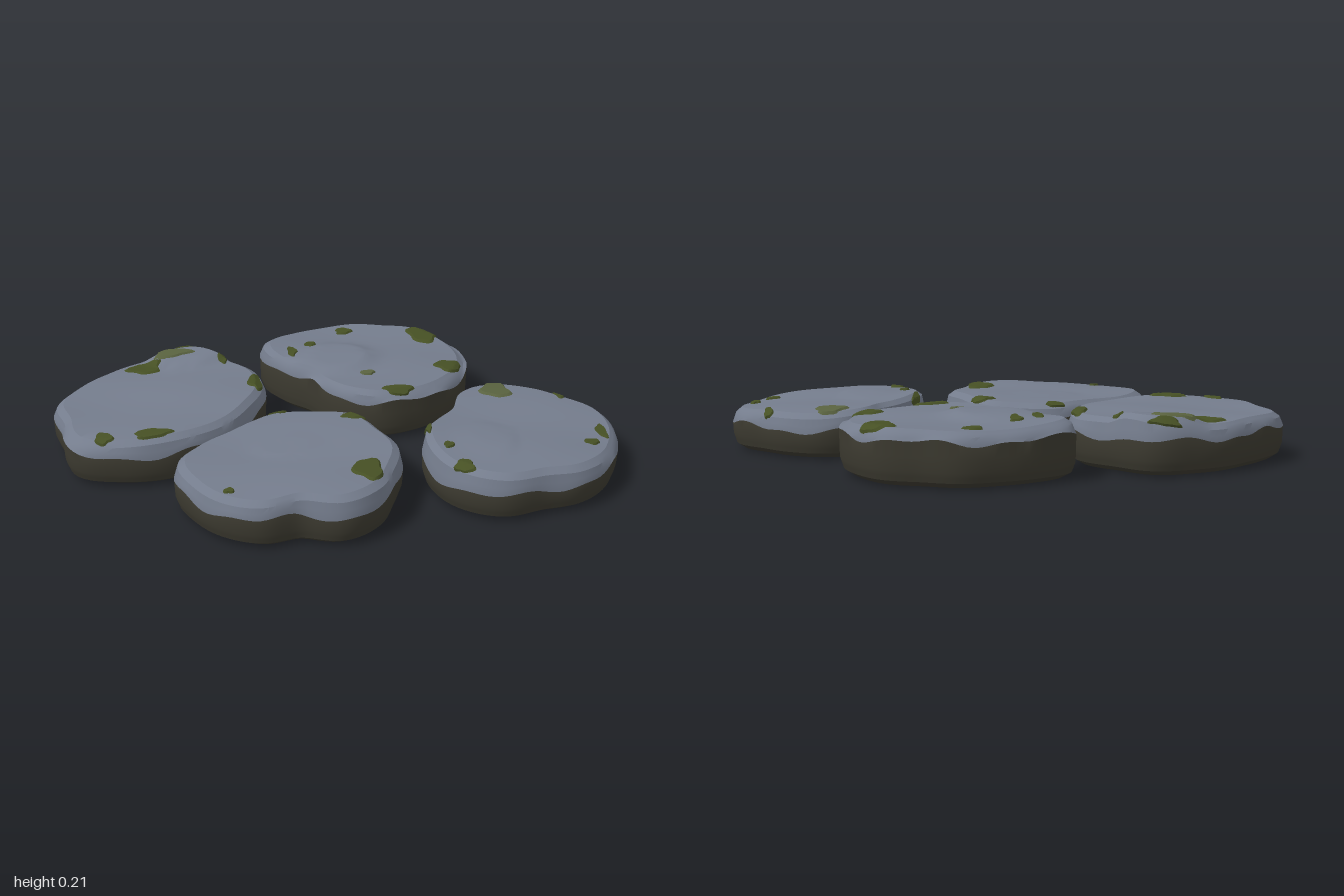
import * as THREE from 'three';
import { toCreasedNormals } from 'three/addons/utils/BufferGeometryUtils.js';

const mat = (name, color) => Object.assign(new THREE.MeshStandardMaterial({ color }), { name });
const { smoothstep } = THREE.MathUtils;

// Outline radius at an angle (from +x towards +z): smooth closed curve through evenly spaced radii
function radius(s, angle) {
  const n = s.radii.length, f = ((angle / (Math.PI * 2)) % 1 + 1) % 1 * n;
  const i = Math.floor(f), t = f - i, r = (k) => s.radii[(i + k + n) % n];
  const m0 = (r(1) - r(-1)) / 2, m1 = (r(2) - r(0)) / 2, d = r(0) - r(1);
  return ((2 * d + m0 + m1) * t - 3 * d - 2 * m0 - m1) * t * t + m0 * t + r(0);
}

// Top height over the plan: tilt, soft undulation and one raised slab
function topHeight(s, x, z) {
  const y = s.top + s.tilt * (x - s.cx)
    + 0.004 * Math.sin(9 * x + 4 * z) + 0.003 * Math.sin(15 * z - 7 * x + s.cx * 9);
  const [lx, lz, rx, rz, h] = s.lump;
  return y + h * (1 - smoothstep(Math.hypot((x - lx) / rx, (z - lz) / rz), 0.65, 1.15));
}

// Point on the stone: v 0..1 crosses the top, 1..1.4 goes down the side, v = 2 is the underside centre
function surface(s, a, v) {
  const rim = radius(s, a), c = Math.cos(a), n = Math.sin(a);
  const top = (k) => topHeight(s, s.cx + c * rim * k, s.cz + n * rim * k);
  let r = v, y;
  if (v <= 0.9) y = top(v);
  else {
    const edge = s.edge + 0.009 * Math.sin(5 * a + s.cx * 7) + 0.006 * Math.sin(11 * a + s.cz * 5);
    const keys = [[0.9, 0.9, top(0.9)], [1, 0.965, top(0.965) - 0.018], [1.1, 1, edge], [1.2, 0.995, 0.06],
      [1.3, 0.965, 0.025], [1.4, 0.89, 0.007], [2, 0, 0.003]];
    const i = Math.max(1, keys.findIndex((k) => k[0] >= v - 1e-6));
    const [v0, r0, y0] = keys[i - 1], [v1, r1, y1] = keys[i];
    const t = (v - v0) / (v1 - v0);
    r = r0 + (r1 - r0) * t;
    y = y0 + (y1 - y0) * t;
  }
  return new THREE.Vector3(s.cx + c * rim * r, y, s.cz + n * rim * r);
}

// Skin of concentric rings; splitRing starts the second material
function ringSkin(rings, sides, point, splitRing = rings) {
  const pos = [], idx = [];
  for (let i = 0; i <= rings; i++) {
    for (let j = 0; j < sides; j++) pos.push(...point(i, (j / sides) * Math.PI * 2).toArray());
  }
  for (let i = 0; i < rings; i++) {
    for (let j = 0; j < sides; j++) {
      const a = i * sides + j, b = i * sides + (j + 1) % sides;
      idx.push(a, b + sides, a + sides, a, b, b + sides);
    }
  }
  const flat = new THREE.BufferGeometry();
  flat.setAttribute('position', new THREE.Float32BufferAttribute(pos, 3));
  flat.setIndex(idx);
  const geo = toCreasedNormals(flat, 0.55);
  geo.addGroup(0, splitRing * sides * 6, 0);
  if (splitRing < rings) geo.addGroup(splitRing * sides * 6, (rings - splitRing) * sides * 6, 1);
  return geo;
}

// Thin irregular moss patch draped over the top and rim, its border tucked into the stone
function mossGeometry(s, x, z, rx, rz, seed) {
  return ringSkin(5, 28, (i, b) => {
    const k = (i / 5) * (1 + 0.13 * Math.sin(3 * b + seed) + 0.08 * Math.sin(5 * b + seed * 2.3));
    const dx = x + rx * k * Math.cos(b) - s.cx, dz = z + rz * k * Math.sin(b) - s.cz;
    const a = Math.atan2(dz, dx), v = Math.min(Math.hypot(dx, dz) / radius(s, a), 1.16);
    const w = smoothstep(v, 0.9, 1.1);
    const out = new THREE.Vector3(Math.cos(a) * w, 1 - 0.8 * w, Math.sin(a) * w).normalize();
    return surface(s, a, v).addScaledVector(out, i < 5 ? 0.007 : -0.003);
  });
}

export function createModel() {
  const slate = mat('slate', 0x747c8c), rock = mat('darkRock', 0x3c3a30);
  const moss = mat('moss', 0x465024), paleMoss = mat('paleMoss', 0x59623f);
  const model = new THREE.Group();
  model.name = 'steppingStones';

  // Ring positions: even over the top, finer down the side, closing under the stone
  const level = (i) => (i <= 8 ? 0.1125 * i : i <= 18 ? 0.9 + 0.05 * (i - 8) : 2);

  // Slab with slate top and dark sides; returns a helper that lays moss on it
  function addStone(name, s) {
    const group = new THREE.Group();
    group.name = name;
    const slab = new THREE.Mesh(ringSkin(19, 96, (i, a) => surface(s, a, level(i)), 12), [slate, rock]);
    slab.name = 'slab';
    group.add(slab);
    model.add(group);
    return (x, z, rx, rz, material = moss) => {
      const patch = new THREE.Mesh(mossGeometry(s, x, z, rx, rz, x * 40 + z * 17), material);
      patch.name = 'mossPatch';
      group.add(patch);
    };
  }

  // Left stone in the back row, with a raised slab at its rear
  const mossA = addStone('backRightStone', {
    cx: -0.61, cz: -0.17, top: 0.18, edge: 0.125, tilt: 0.02, lump: [-0.49, -0.46, 0.16, 0.09, 0.024],
    radii: [.39, .355, .347, .355, .38, .413, .45, .39, .39, .338, .31, .325, .355, .408, .388, .408],
  });
  mossA(-0.66, -0.40, 0.07, 0.05);
  mossA(-0.55, -0.47, 0.08, 0.035, paleMoss);
  mossA(-0.36, -0.41, 0.02, 0.03);
  mossA(-0.25, -0.21, 0.035, 0.07);
  mossA(-0.82, 0.15, 0.035, 0.04);
  mossA(-0.65, 0.155, 0.07, 0.035);
  mossA(-0.50, -0.535, 0.06, 0.02);

  // Tallest stone at the back
  const mossB = addStone('backStone', {
    cx: 0.19, cz: -0.36, top: 0.193, edge: 0.155, tilt: -0.02, lump: [0.07, -0.35, 0.16, 0.14, 0.018],
    radii: [.39, .387, .368, .355, .35, .315, .275, .265, .335, .428, .388, .355, .35, .335, .365, .375],
  });
  mossB(0.45, -0.53, 0.065, 0.08);
  mossB(0.49, -0.23, 0.06, 0.05);
  mossB(0.26, -0.05, 0.06, 0.035);
  mossB(0.14, -0.61, 0.035, 0.03);
  mossB(-0.01, -0.48, 0.025, 0.03);
  mossB(-0.09, -0.42, 0.02, 0.045);
  mossB(0.17, -0.20, 0.03, 0.018, paleMoss);

  // Front stone
  const mossC = addStone('frontStone', {
    cx: -0.195, cz: 0.355, top: 0.18, edge: 0.115, tilt: 0.01, lump: [-0.2, 0.3, 0.12, 0.08, 0.006],
    radii: [.39, .373, .385, .374, .305, .35, .37, .38, .395, .345, .3, .305, .345, .357, .395, .372],
  });
  mossC(0.07, 0.12, 0.05, 0.03);
  mossC(0.05, 0.51, 0.055, 0.08);
  mossC(-0.42, 0.57, 0.02, 0.015);
  mossC(-0.20, 0.035, 0.04, 0.015);

  // Stone on the left of the front row, sloping outward
  const mossD = addStone('frontLeftStone', {
    cx: 0.635, cz: 0.26, top: 0.172, edge: 0.105, tilt: -0.06, lump: [0.5, 0.35, 0.1, 0.14, 0.006],
    radii: [.36, .345, .347, .35, .345, .402, .412, .387, .35, .3, .285, .357, .382, .362, .343, .367],
  });
  mossD(0.62, -0.03, 0.06, 0.07, paleMoss);
  mossD(0.30, 0.24, 0.02, 0.05);
  mossD(0.37, 0.53, 0.04, 0.04);
  mossD(0.35, 0.39, 0.02, 0.02);
  mossD(0.92, 0.31, 0.02, 0.05);
  mossD(0.86, 0.39, 0.03, 0.02);
  mossD(0.85, 0.02, 0.02, 0.04);
  return model;
}
